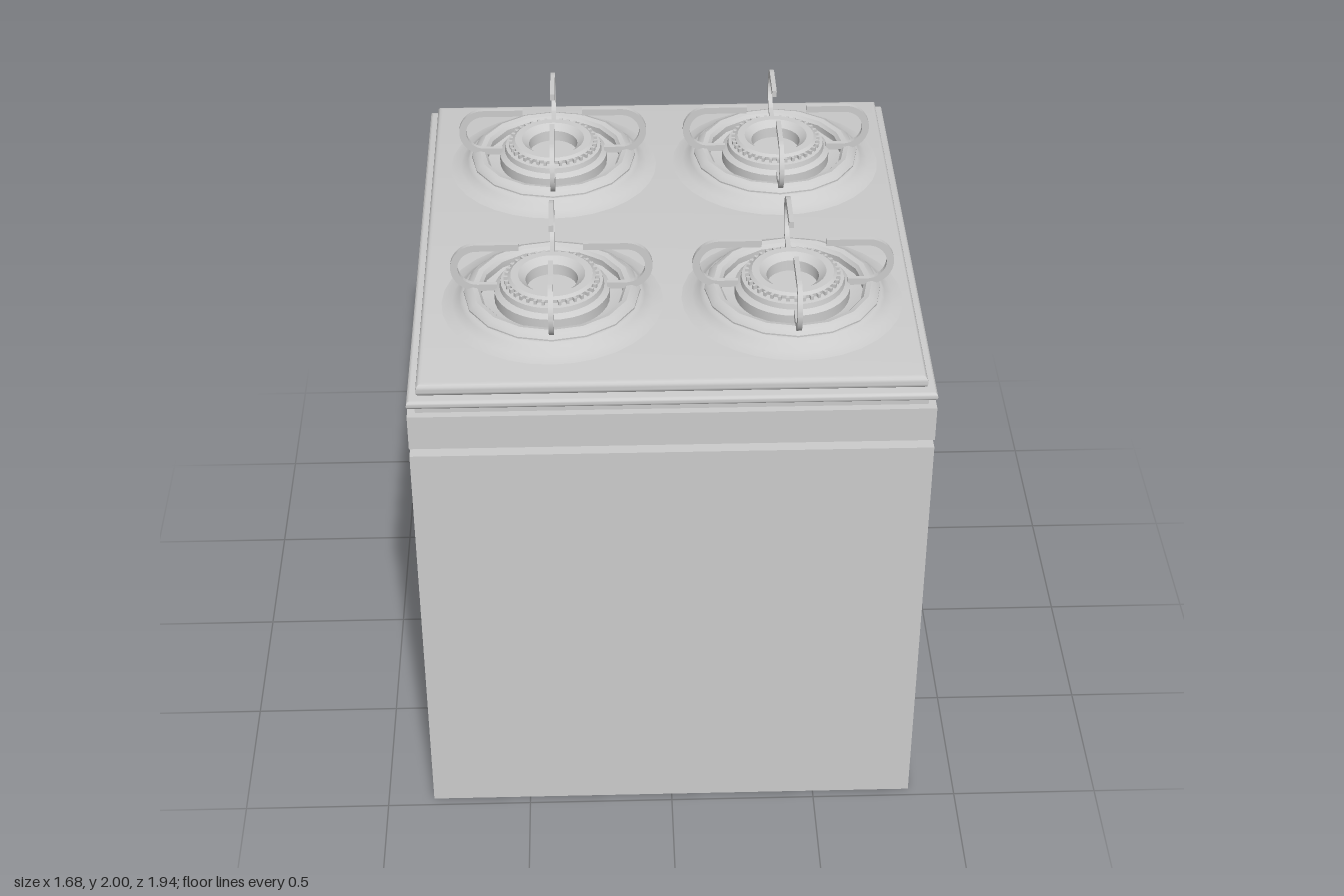
import * as THREE from 'three';
import { toCreasedNormals } from 'three/addons/utils/BufferGeometryUtils.js';

const material = new THREE.MeshStandardMaterial({ color: 0xcccccc });
const thin = new THREE.MeshStandardMaterial({ color: 0xcccccc, side: THREE.DoubleSide });

function add(parent, name, geometry, x = 0, y = 0, z = 0, mat = material) {
  const mesh = new THREE.Mesh(geometry, mat);
  mesh.name = name;
  mesh.position.set(x, y, z);
  parent.add(mesh);
  return mesh;
}

// Box given by its half width, depth range and height range
function block(parent, name, hx, z0, z1, y0, y1) {
  return add(parent, name, new THREE.BoxGeometry(2 * hx, y1 - y0, z1 - z0), 0, (y0 + y1) / 2, (z0 + z1) / 2);
}

function rect(path, x0, y0, x1, y1) {
  path.moveTo(x0, y0);
  path.lineTo(x1, y0);
  path.lineTo(x1, y1);
  path.lineTo(x0, y1);
  path.closePath();
  return path;
}

// Horizontal sheet with softened edges
function sheet(parent, name, hx, z0, z1, y0, y1, bevel) {
  const geo = new THREE.ExtrudeGeometry(rect(new THREE.Shape(), -hx, -z1, hx, -z0), {
    depth: y1 - y0 - 2 * bevel, bevelEnabled: true, bevelThickness: bevel,
    bevelSize: bevel, bevelOffset: -bevel, bevelSegments: 3,
  });
  geo.rotateX(-Math.PI / 2);
  return add(parent, name, toCreasedNormals(geo, 0.6), 0, y0 + bevel, 0);
}

function lathe(parent, name, points, segments, crease = 0.6) {
  const geo = new THREE.LatheGeometry(points.map(([r, y]) => new THREE.Vector2(r, y)), segments);
  return add(parent, name, toCreasedNormals(geo, crease), 0, 0, 0, thin);
}

// Flat bar bent into a hook, lying in the x/y plane
function hookGeometry() {
  const s = new THREE.Shape();
  const w = 0.024, R = 0.088, cx = 0.242, cy = 0.912;
  s.moveTo(0.105, cy + R);
  s.lineTo(cx, cy + R);
  s.absarc(cx, cy, R, Math.PI / 2, -Math.PI / 2, true);
  s.lineTo(0.18, cy - R);
  s.lineTo(0.18, cy - R + w);
  s.lineTo(cx, cy - R + w);
  s.absarc(cx, cy, R - w, -Math.PI / 2, Math.PI / 2, false);
  s.lineTo(0.105, cy + R - w);
  s.closePath();
  const geo = new THREE.ExtrudeGeometry(s, { depth: 0.016, bevelEnabled: false, curveSegments: 16 });
  geo.translate(0, 1, -0.008);
  return toCreasedNormals(geo, 0.6);
}

function makeBurner(hook) {
  const g = new THREE.Group();
  g.name = 'burner';
  // Raised swelling of the cooktop with a sunken drip tray
  lathe(g, 'burnerMound', [[0.37, 1.774], [0.33, 1.782], [0.305, 1.8], [0.295, 1.812], [0.27, 1.814], [0.25, 1.8], [0.18, 1.79], [0.1, 1.79]], 32, 1);
  // Faceted support ring
  lathe(g, 'supportRing', [[0.29, 1.808], [0.29, 1.818], [0.277, 1.832], [0.262, 1.838], [0.245, 1.834], [0.235, 1.822], [0.235, 1.8]], 16);
  // Burner head with a hollow centre
  lathe(g, 'burnerHead', [[0.19, 1.785], [0.19, 1.828], [0.172, 1.84], [0.168, 1.858], [0.145, 1.862],
    [0.145, 1.874], [0.135, 1.882], [0.11, 1.882], [0.086, 1.862], [0.083, 1.825], [0, 1.825]], 36);
  // Flame teeth
  const tooth = new THREE.BoxGeometry(0.014, 0.014, 0.01);
  for (let i = 0; i < 36; i++) {
    const a = (i / 36) * Math.PI * 2;
    const m = add(g, 'flameTooth', tooth, 0.15 * Math.cos(a), 1.867, 0.15 * Math.sin(a));
    m.rotation.y = -a;
  }
  // Pan supports
  for (let i = 0; i < 4; i++) add(g, 'panSupport', hook).rotation.y = (i * Math.PI) / 2;
  return g;
}

function makeKnob() {
  const g = new THREE.Group();
  g.name = 'knob';
  const disc = new THREE.CylinderGeometry(0.046, 0.056, 0.018, 24);
  disc.rotateX(-Math.PI / 2);
  add(g, 'knobBase', toCreasedNormals(disc, 0.6), 0, 0, -0.009);
  // Grip bar with rounded ends
  const s = new THREE.Shape();
  s.absarc(0.033, 0, 0.018, -Math.PI / 2, Math.PI / 2, false);
  s.absarc(-0.033, 0, 0.018, Math.PI / 2, Math.PI * 1.5, false);
  const grip = new THREE.ExtrudeGeometry(s, {
    depth: 0.03, bevelEnabled: true, bevelThickness: 0.006, bevelSize: 0.006, bevelSegments: 2,
  });
  add(g, 'knobGrip', toCreasedNormals(grip, 0.6), 0, 0, -0.044);
  return g;
}

export function createModel() {
  const stove = new THREE.Group();
  stove.name = 'stove';

  // Cabinet and stepped layers above it
  block(stove, 'cabinet', 0.84, -0.83, 0.97, 0, 1.52);
  block(stove, 'neck', 0.7, -0.72, 0.82, 1.52, 1.55);
  block(stove, 'controlPanel', 0.84, -0.87, 0.97, 1.55, 1.675);
  block(stove, 'spacer', 0.815, -0.85, 0.945, 1.675, 1.705);
  sheet(stove, 'topPlate', 0.84, -0.87, 0.97, 1.703, 1.732, 0.012);
  sheet(stove, 'cooktop', 0.81, -0.835, 0.94, 1.73, 1.775, 0.018);

  // Oven door: frame around a recessed panel with sloped edges
  const frame = rect(new THREE.Shape(), -0.84, 0, 0.84, 1.52);
  frame.holes.push(rect(new THREE.Path(), -0.625, 0.16, 0.625, 1.34));
  add(stove, 'doorFrame', new THREE.ExtrudeGeometry(frame, { depth: 0.04, bevelEnabled: false }), 0, 0, -0.87);
  const edge = new THREE.CylinderGeometry(Math.SQRT2 * 0.955, Math.SQRT2, 0.04, 4, 1, true);
  edge.rotateY(Math.PI / 4);
  edge.rotateX(Math.PI / 2);
  edge.scale(0.625, 0.59, 1);
  add(stove, 'doorWindowEdge', toCreasedNormals(edge, 0.3), 0, 0.75, -0.85, thin);

  // Crescent handle
  const arc = new THREE.Shape();
  arc.moveTo(-0.385, 0.865);
  arc.bezierCurveTo(-0.19, 1.003, 0.2, 1.003, 0.395, 0.865);
  arc.lineTo(0.33, 0.865);
  arc.bezierCurveTo(0.16, 0.971, -0.15, 0.971, -0.32, 0.865);
  arc.closePath();
  const handle = new THREE.ExtrudeGeometry(arc, { depth: 0.03, bevelEnabled: false, curveSegments: 20 });
  handle.rotateX(-Math.PI / 2);
  add(stove, 'doorHandle', toCreasedNormals(handle, 0.6), 0, 1.433, 0);

  // Control knobs
  for (const x of [-0.58, -0.29, 0.22, 0.51]) {
    const knob = makeKnob();
    knob.position.set(x, 1.612, -0.87);
    stove.add(knob);
  }

  // Four burners
  const hook = hookGeometry();
  for (const x of [-0.38, 0.41]) {
    for (const z of [-0.405, 0.47]) {
      const burner = makeBurner(hook);
      burner.position.set(x, 0, z);
      stove.add(burner);
    }
  }
  return stove;
}
